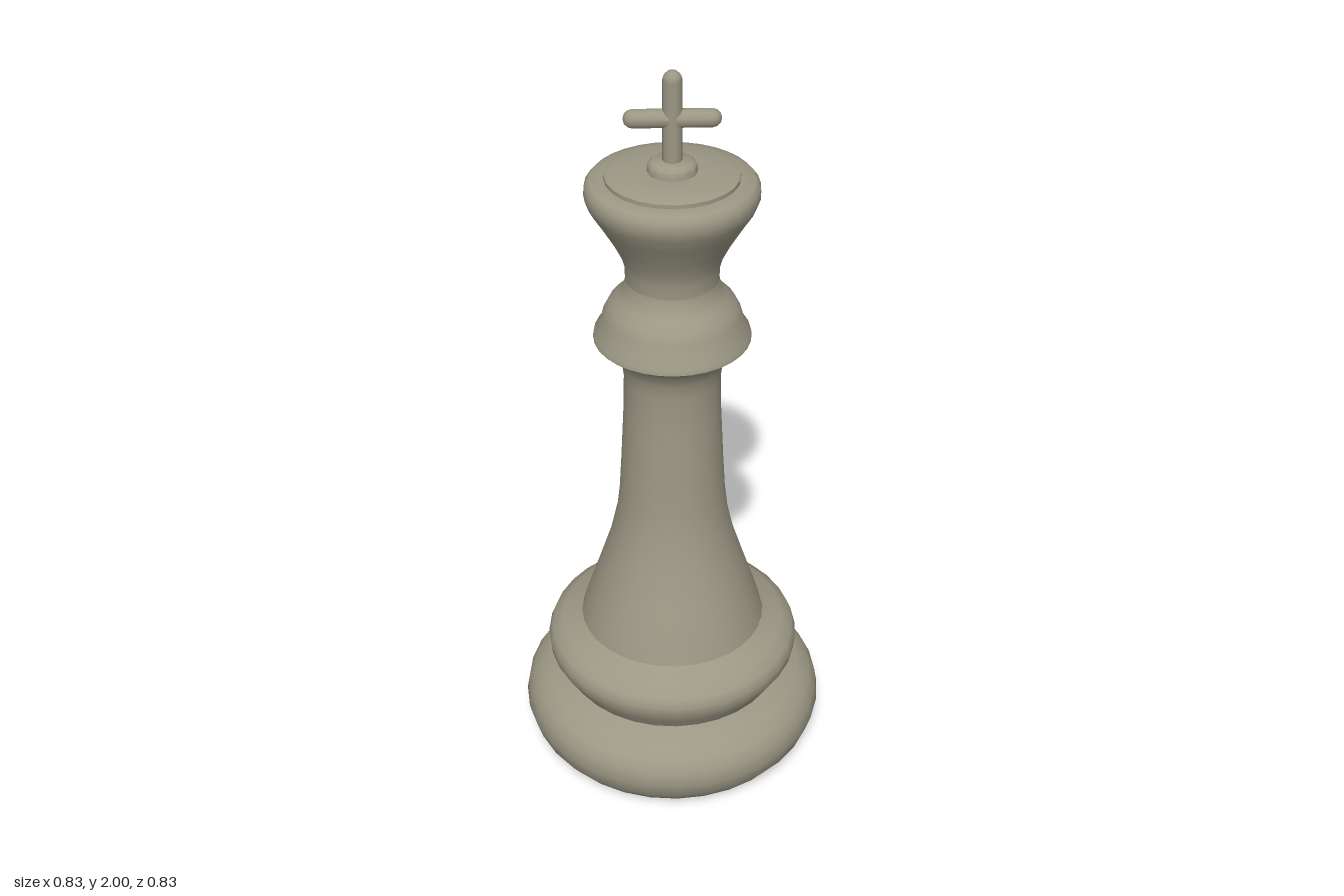
import * as THREE from 'three';
import { toCreasedNormals } from 'three/addons/utils/BufferGeometryUtils.js';

const material = new THREE.MeshStandardMaterial({ color: 0x9c9885 });

function addMesh(group, name, geometry) {
  const mesh = new THREE.Mesh(geometry, material);
  mesh.name = name;
  group.add(mesh);
  return mesh;
}

// Turned part: profile of [radius, y] from bottom to top
function turned(group, name, profile, sides = 32, crease = 0.8) {
  const points = profile.map(([r, y]) => new THREE.Vector2(r, y));
  return addMesh(group, name, toCreasedNormals(new THREE.LatheGeometry(points, sides), crease));
}

export function createModel() {
  const group = new THREE.Group();
  group.name = 'chessKing';

  // Foot: flat underside and a fat rounded rim
  turned(group, 'base', [
    [0, 0], [0.29, 0.003], [0.34, 0.012], [0.375, 0.03], [0.4, 0.065], [0.415, 0.115],
    [0.408, 0.155], [0.39, 0.185], [0.355, 0.21], [0.3, 0.228],
  ]);

  // Ring above the foot
  turned(group, 'baseRing', [
    [0.3, 0.228], [0.32, 0.262], [0.342, 0.3], [0.345, 0.33], [0.335, 0.355],
    [0.305, 0.375], [0.27, 0.388], [0.25, 0.4],
  ]);

  // Flared stem
  turned(group, 'stem', [
    [0.252, 0.395], [0.235, 0.455], [0.2, 0.56], [0.168, 0.66], [0.148, 0.75], [0.14, 0.82],
    [0.134, 0.92], [0.127, 1.06], [0.124, 1.17], [0.129, 1.21], [0.143, 1.243],
    [0.165, 1.268], [0.188, 1.28],
  ]);

  // Collar with a thin lip and domed upper side
  turned(group, 'collar', [
    [0.15, 1.278], [0.188, 1.28], [0.2, 1.29], [0.198, 1.302], [0.182, 1.325], [0.175, 1.355],
    [0.16, 1.385], [0.138, 1.407], [0.122, 1.43], [0.117, 1.455],
  ]);

  // Flaring head with a rounded rim
  turned(group, 'head', [
    [0.117, 1.455], [0.118, 1.49], [0.126, 1.52], [0.148, 1.565], [0.18, 1.62], [0.205, 1.66],
    [0.214, 1.685], [0.212, 1.71], [0.2, 1.724], [0.165, 1.727], [0, 1.727],
  ]);

  // Stepped lid and the small seat of the cross
  turned(group, 'lid', [[0.165, 1.722], [0.165, 1.737], [0.155, 1.742], [0.08, 1.744], [0, 1.746]], 24);
  turned(group, 'crossSeat', [[0.062, 1.74], [0.06, 1.763], [0.05, 1.772], [0, 1.774]], 12);

  // Cross of two round-ended rods
  const upright = addMesh(group, 'crossUpright', new THREE.CapsuleGeometry(0.024, 0.222, 3, 10));
  upright.position.y = 1.865;
  const arm = addMesh(group, 'crossArm', new THREE.CapsuleGeometry(0.023, 0.188, 3, 10));
  arm.rotation.z = Math.PI / 2;
  arm.position.y = 1.88;

  return group;
}
